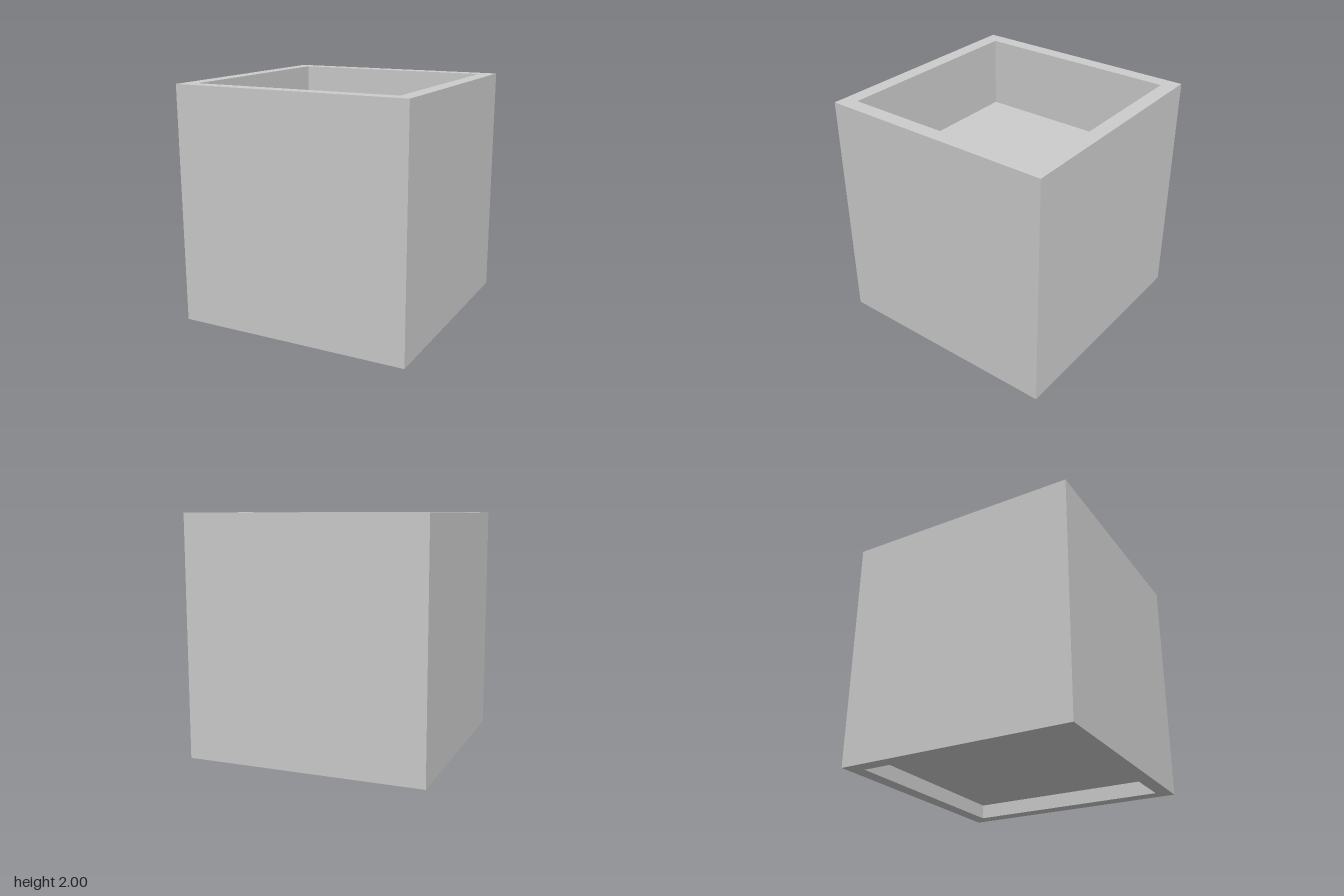
import * as THREE from 'three';

const HALF = 1;          // half width of the cube
const INNER = 0.875;     // half width of the recesses
const HEIGHT = 2;
const UNDERSIDE = 0.125; // shallow recess below
const FLOOR = 1.375;     // floor of the deep recess above

export function createModel() {
  const group = new THREE.Group();
  group.name = 'squarePlanter';

  // Half section from the underside, around the wall, to the inner floor
  const profile = [
    [0, UNDERSIDE], [INNER, UNDERSIDE], [INNER, 0], [HALF, 0],
    [HALF, HEIGHT], [INNER, HEIGHT], [INNER, FLOOR], [0, FLOOR],
  ].map(([x, y]) => new THREE.Vector2(x * Math.SQRT2, y));

  // Four-sided turn gives a square body with crisp faces
  const geometry = new THREE.LatheGeometry(profile, 4, Math.PI / 4).toNonIndexed();
  geometry.computeVertexNormals();

  const material = new THREE.MeshStandardMaterial({ color: 0xcccccc, flatShading: true });
  const body = new THREE.Mesh(geometry, material);
  body.name = 'planterBody';
  group.add(body);
  return group;
}
